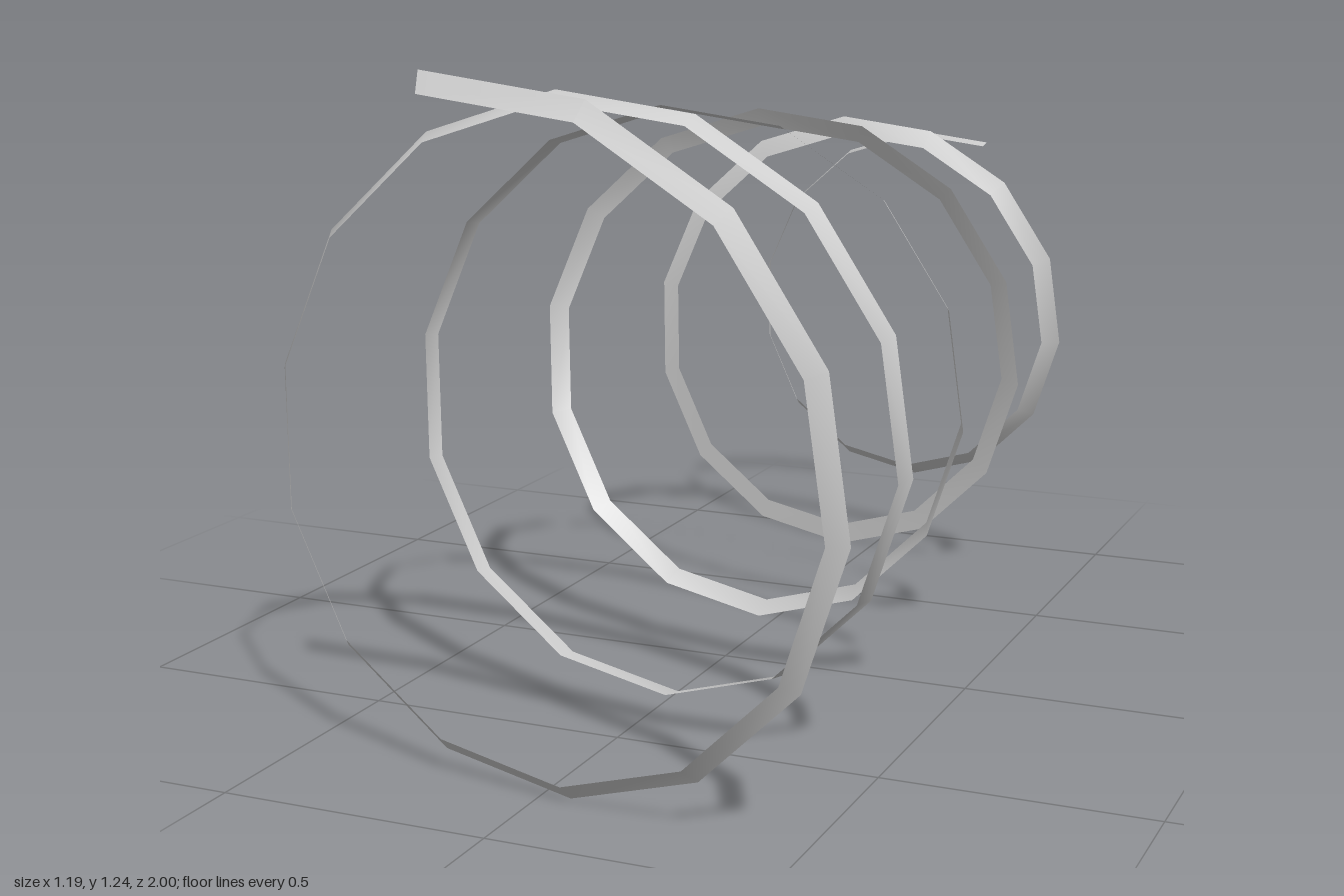
import * as THREE from 'three';

const SEGMENTS = 71;
const STEP = 2 * Math.PI / 14;                  // angle between cross-sections
const START = THREE.MathUtils.degToRad(-6.2);   // angle of the front end, clockwise from the top
const HALF_WIDTH = 0.02;

// slightly tilted axis of the conical spiral
const origin = new THREE.Vector3(-0.027, 0.602, 0.998);
const axis = new THREE.Vector3(0.066, 0, -1).normalize();
const up = new THREE.Vector3(0, 1, 0);
const side = new THREE.Vector3(1, 0, 0.066).normalize();

// point on the shrinking spiral at step i
function spiralPoint(i) {
  const turns = i * STEP / (2 * Math.PI);
  const angle = START + i * STEP;
  const radius = 0.619 - 0.0525 * turns;
  return origin.clone()
    .addScaledVector(axis, 0.3915 * turns)
    .addScaledVector(side, radius * Math.sin(angle))
    .addScaledVector(up, radius * Math.cos(angle));
}

function spiralTangent(i) {
  return spiralPoint(i + 0.01).sub(spiralPoint(i - 0.01)).normalize();
}

// flat strip whose cross-section is carried along the path without spinning about it
function ribbonGeometry() {
  const positions = [];
  const indices = [];
  let tangent = spiralTangent(0);
  const inward = origin.clone().sub(spiralPoint(0));
  inward.addScaledVector(tangent, -inward.dot(tangent)).normalize();
  const across = inward.applyAxisAngle(tangent, -0.43);
  const turn = new THREE.Quaternion();

  for (let i = 0; i <= SEGMENTS; i++) {
    const next = spiralTangent(i);
    across.applyQuaternion(turn.setFromUnitVectors(tangent, next));
    tangent = next;
    const p = spiralPoint(i);
    for (const s of [-HALF_WIDTH, HALF_WIDTH]) {
      positions.push(...p.clone().addScaledVector(across, s).toArray());
    }
    if (i < SEGMENTS) {
      const a = i * 2;
      indices.push(a, a + 2, a + 1, a + 1, a + 2, a + 3);
    }
  }

  const geometry = new THREE.BufferGeometry();
  geometry.setAttribute('position', new THREE.Float32BufferAttribute(positions, 3));
  geometry.setIndex(indices);
  geometry.computeVertexNormals();
  return geometry;
}

export function createModel() {
  const group = new THREE.Group();
  group.name = 'spiralRibbon';
  const grey = new THREE.MeshStandardMaterial({ color: 0xcccccc, side: THREE.DoubleSide });
  grey.name = 'light grey';
  const ribbon = new THREE.Mesh(ribbonGeometry(), grey);
  ribbon.name = 'ribbon';
  group.add(ribbon);
  return group;
}
